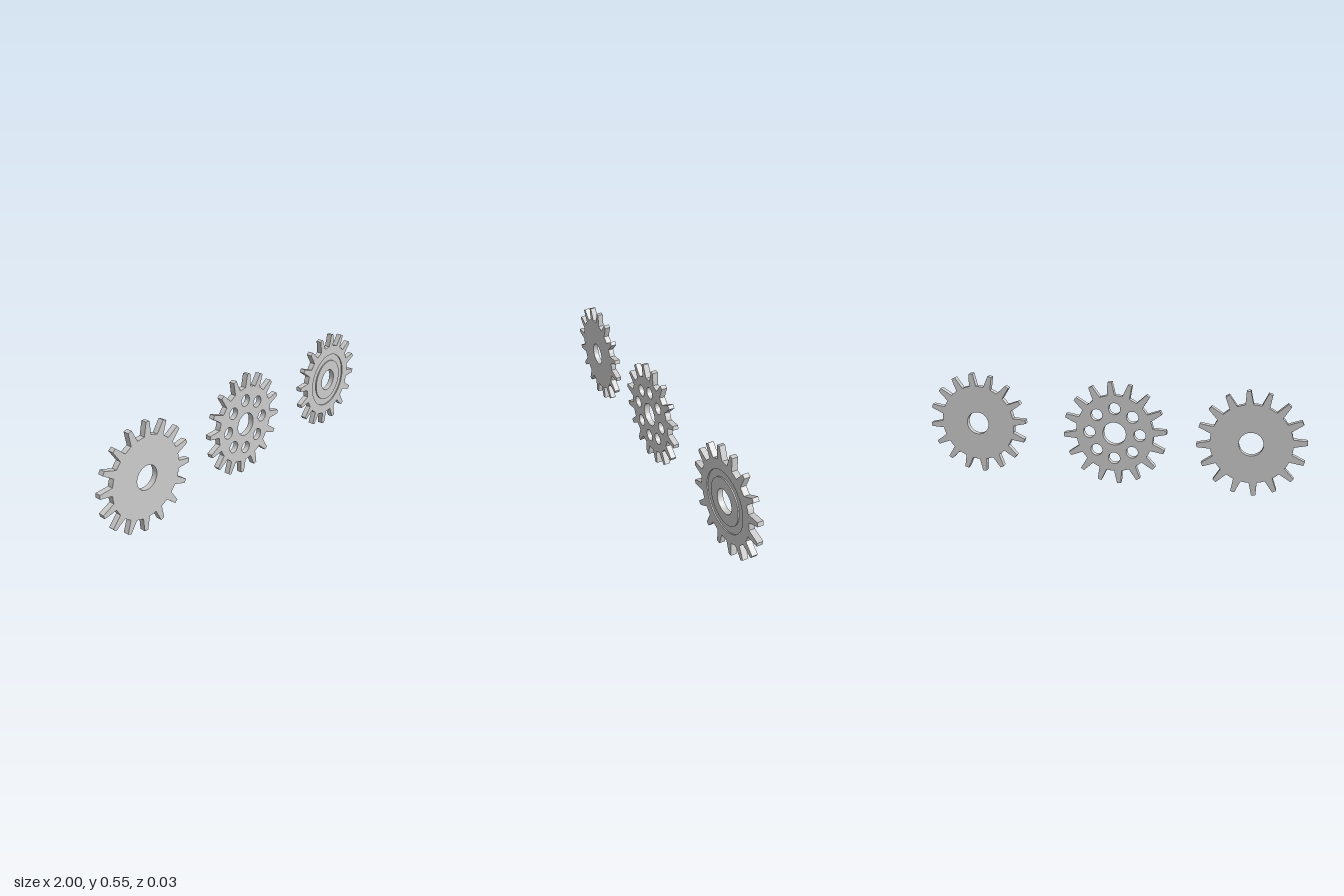
import * as THREE from 'three';

const TEETH = 16, PHASE = -5.5 * Math.PI / 180;
const TIP = 0.273, ROOT = 0.205, BORE = 0.061, THICK = 0.0294;
const TIP_HALF = 0.0105 / TIP, ROOT_HALF = 0.02 / ROOT; // half tooth angles
const GROOVE_IN = 0.117, GROOVE_OUT = 0.154, GROOVE_DEPTH = 0.006;

const material = new THREE.MeshStandardMaterial({ color: 0xcccccc });

// Toothed outline: four corners per tooth plus a point in the valley
function gearShape() {
  const points = [];
  const step = Math.PI * 2 / TEETH;
  const add = (r, a) => points.push(new THREE.Vector2(r * Math.cos(a), r * Math.sin(a)));
  for (let i = 0; i < TEETH; i++) {
    const a = PHASE + i * step;
    add(ROOT, a - ROOT_HALF);
    add(TIP, a - TIP_HALF);
    add(TIP, a + TIP_HALF);
    add(ROOT, a + ROOT_HALF);
    add(ROOT, a + step / 2);
  }
  return new THREE.Shape(points);
}

function discShape(r) {
  return new THREE.Shape().absarc(0, 0, r, 0, Math.PI * 2, false);
}

function addHole(shape, r, x = 0, y = 0) {
  shape.holes.push(new THREE.Path().absarc(x, y, r, 0, Math.PI * 2, true));
  return shape;
}

// Slab of the given shape between two depths
function slab(name, shape, z0, z1) {
  const geometry = new THREE.ExtrudeGeometry(shape, {
    depth: z1 - z0, bevelEnabled: false, curveSegments: 32,
  });
  geometry.translate(0, 0, z0);
  const mesh = new THREE.Mesh(geometry, material);
  mesh.name = name;
  return mesh;
}

export function createModel() {
  const model = new THREE.Group();
  model.name = 'gearSet';
  const back = -THICK / 2, front = THICK / 2;

  // Plain gear
  const plain = slab('plainGear', addHole(gearShape(), BORE), back, front);
  plain.position.set(-0.727, 0.272, 0);

  // Gear with a ring of eight lightening holes
  const drilledShape = addHole(gearShape(), BORE);
  for (let i = 0; i < 8; i++) {
    const a = i * Math.PI / 4;
    addHole(drilledShape, 0.031, 0.134 * Math.cos(a), 0.134 * Math.sin(a));
  }
  const drilled = slab('drilledGear', drilledShape, back, front);
  drilled.position.set(-0.03, 0.272, 0);

  // Gear with a shallow ring recess in its front face
  const recessed = new THREE.Group();
  recessed.name = 'recessedGear';
  const floor = front - GROOVE_DEPTH;
  recessed.add(
    slab('recessedGearBack', addHole(gearShape(), BORE), back, floor),
    slab('recessedGearRim', addHole(gearShape(), GROOVE_OUT), floor, front),
    slab('recessedGearHub', addHole(discShape(GROOVE_IN), BORE), floor, front),
  );
  recessed.position.set(0.727, 0.272, 0);

  model.add(plain, drilled, recessed);
  return model;
}
